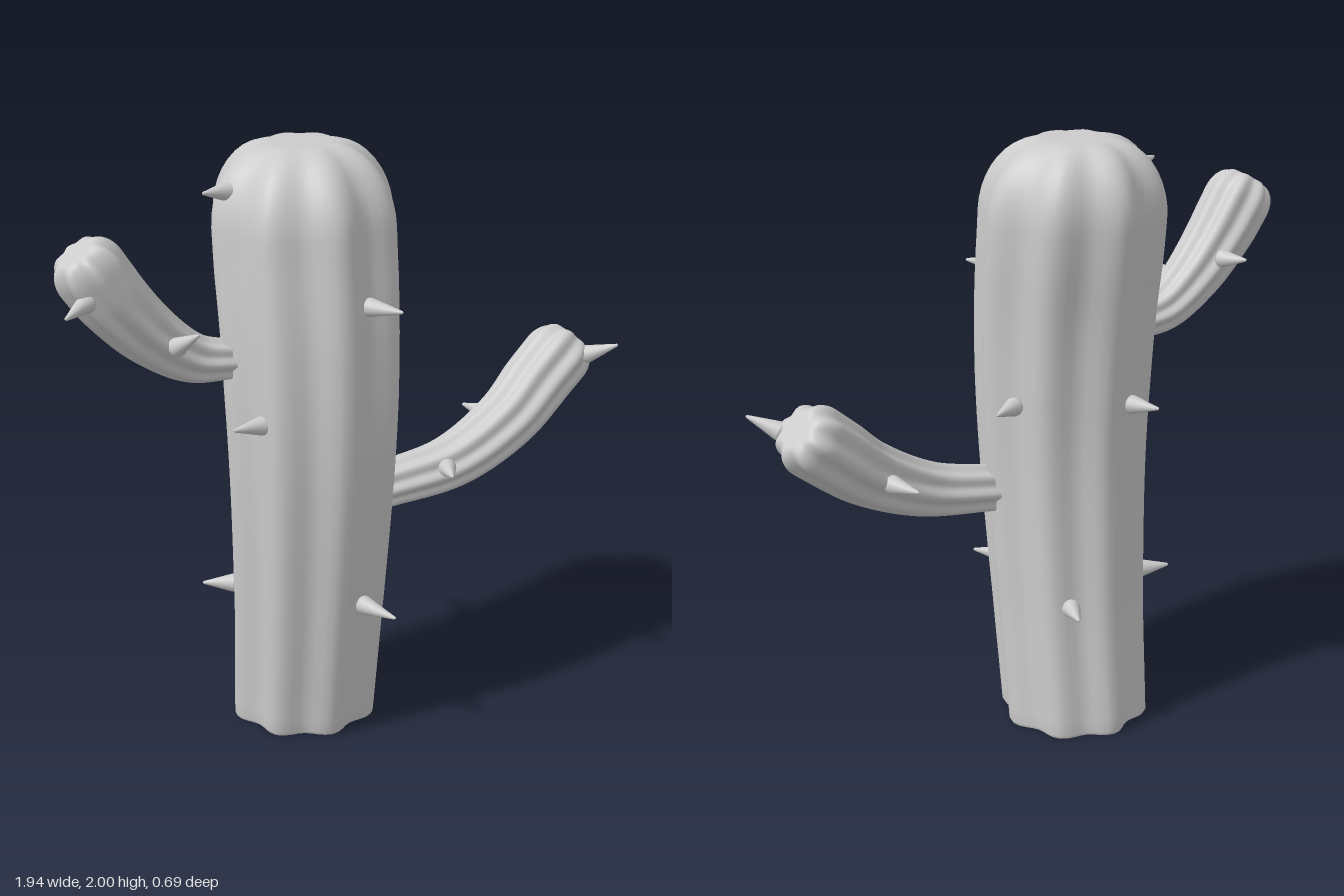
import * as THREE from 'three';

const V = (a) => new THREE.Vector3(a[0], a[1], a[2]);
const RIBS = 8, SEG = RIBS * 8, STEPS = 36, CAP = 10;

// Ribbed tube along a curve: flat start, rounded blunt end.
// o: points, radii [start, ..., end], capLength, flat (share of radius left at the tip), depth, upright
function ribbedTube(o) {
  const curve = new THREE.CatmullRomCurve3(o.points.map(V));
  const bodyEnd = 1 - o.capLength / curve.getLength();
  const radiusAt = (u) => {
    const f = Math.min(u, 0.9999) * (o.radii.length - 1), i = Math.floor(f);
    return THREE.MathUtils.lerp(o.radii[i], o.radii[i + 1], f - i);
  };
  // Stations: [curve position, radius factor, rib depth]
  const stations = [[0, 0.975, o.depth], [0.006, 1, o.depth]];
  for (let i = 1; i <= STEPS; i++) stations.push([0.006 + (bodyEnd - 0.006) * i / STEPS, 1, o.depth]);
  for (let i = 1; i <= CAP; i++) {
    const a = i / CAP * Math.PI / 2;
    stations.push([bodyEnd + (1 - bodyEnd) * Math.sin(a), o.flat + (1 - o.flat) * Math.cos(a), o.depth]);
  }
  stations.push([1, o.flat * 0.5, o.depth * 0.6], [1, 0.001, 0]);

  const pos = [], index = [];
  const addRing = ([u, k, depth]) => {
    const c = curve.getPointAt(u);
    const t = o.upright ? new THREE.Vector3(0, 1, 0) : curve.getTangentAt(u);
    const side = new THREE.Vector3(0, 0, 1).cross(t).normalize();
    const front = t.clone().cross(side);
    for (let j = 0; j < SEG; j++) {
      const a = j / SEG * Math.PI * 2;
      const r = radiusAt(u) * k * (1 - depth * (0.5 - 0.5 * Math.cos(RIBS * a)));
      const p = c.clone().addScaledVector(side, r * Math.cos(a)).addScaledVector(front, r * Math.sin(a));
      pos.push(p.x, p.y, p.z);
    }
  };
  stations.forEach(addRing);
  for (let i = 0; i < stations.length - 1; i++) {
    for (let j = 0; j < SEG; j++) {
      const a = i * SEG + j, b = i * SEG + (j + 1) % SEG;
      index.push(a, b, b + SEG, a, b + SEG, a + SEG);
    }
  }
  // Flat start face with its own vertices for a sharp edge
  const base = pos.length / 3;
  addRing(stations[0]);
  pos.push(...curve.getPointAt(0).toArray());
  for (let j = 0; j < SEG; j++) index.push(base + (j + 1) % SEG, base + j, base + SEG);

  const g = new THREE.BufferGeometry();
  g.setAttribute('position', new THREE.Float32BufferAttribute(pos, 3));
  g.setIndex(index);
  g.computeVertexNormals();
  return g;
}

export function createModel() {
  const model = new THREE.Group();
  const mat = new THREE.MeshStandardMaterial({ color: 0xcccccc });
  const add = (name, geometry) => {
    const m = new THREE.Mesh(geometry, mat);
    m.name = name;
    model.add(m);
    return m;
  };

  // Gently bent trunk
  add('trunk', ribbedTube({
    points: [[-0.12, 0, -0.07], [-0.12, 0.5, -0.015], [-0.12, 1, 0.017], [-0.12, 1.4, 0.005],
      [-0.12, 1.7, -0.03], [-0.12, 2, -0.055]],
    radii: [0.254, 0.264, 0.28, 0.297, 0.308, 0.308],
    capLength: 0.25, flat: 0.35, depth: 0.12, upright: true,
  }));

  // Arms
  add('leftArm', ribbedTube({
    points: [[0.12, 0.83, 0.05], [0.38, 0.88, 0.06], [0.6, 0.99, 0.035], [0.74, 1.1, -0.005], [0.88, 1.215, -0.035]],
    radii: [0.082, 0.092, 0.105, 0.117, 0.12],
    capLength: 0.085, flat: 0.5, depth: 0.16,
  }));
  add('rightArm', ribbedTube({
    points: [[-0.39, 1.335, 0], [-0.52, 1.36, 0.005], [-0.65, 1.45, 0.015], [-0.77, 1.58, 0.025], [-0.89, 1.755, 0.03]],
    radii: [0.068, 0.085, 0.102, 0.114, 0.118],
    capLength: 0.09, flat: 0.5, depth: 0.16,
  }));

  // Spines: base and tip of each
  const spines = [
    [[-0.03, 1.53, 0.23], [0.045, 1.535, 0.35]],
    [[-0.03, 0.49, 0.2], [0.038, 0.48, 0.335]],
    [[-0.37, 1.873, -0.025], [-0.475, 1.885, 0.01]],
    [[-0.34, 1.16, 0.16], [-0.46, 1.17, 0.19]],
    [[0.12, 1.16, -0.08], [0.23, 1.165, -0.14]],
    [[-0.21, 1.15, -0.24], [-0.255, 1.155, -0.345]],
    [[0.0, 0.47, -0.22], [0.042, 0.475, -0.335]],
    [[-0.34, 0.485, -0.12], [-0.45, 0.49, -0.16]],
    [[0.325, 0.89, 0.12], [0.29, 0.9, 0.235]],
    [[0.88, 1.18, 0.05], [0.97, 1.23, 0.13]],
    [[0.575, 0.98, -0.05], [0.535, 0.98, -0.17]],
    [[-0.61, 1.43, 0.09], [-0.565, 1.5, 0.195]],
    [[-0.87, 1.618, 0.09], [-0.97, 1.595, 0.165]],
    [[-0.705, 1.52, -0.06], [-0.735, 1.535, -0.17]],
  ];
  for (const [from, to] of spines) {
    const a = V(from), dir = V(to).sub(a), h = dir.length();
    const profile = [[0, 0], [0.022, 0], [0.03, 0.07], [0.031, 0.14], [0.005, 0.97], [0, 1]];
    const spine = add('spine', new THREE.LatheGeometry(profile.map(([r, y]) => new THREE.Vector2(r, y * h)), 16));
    spine.position.copy(a);
    spine.quaternion.setFromUnitVectors(new THREE.Vector3(0, 1, 0), dir.normalize());
  }
  return model;
}
